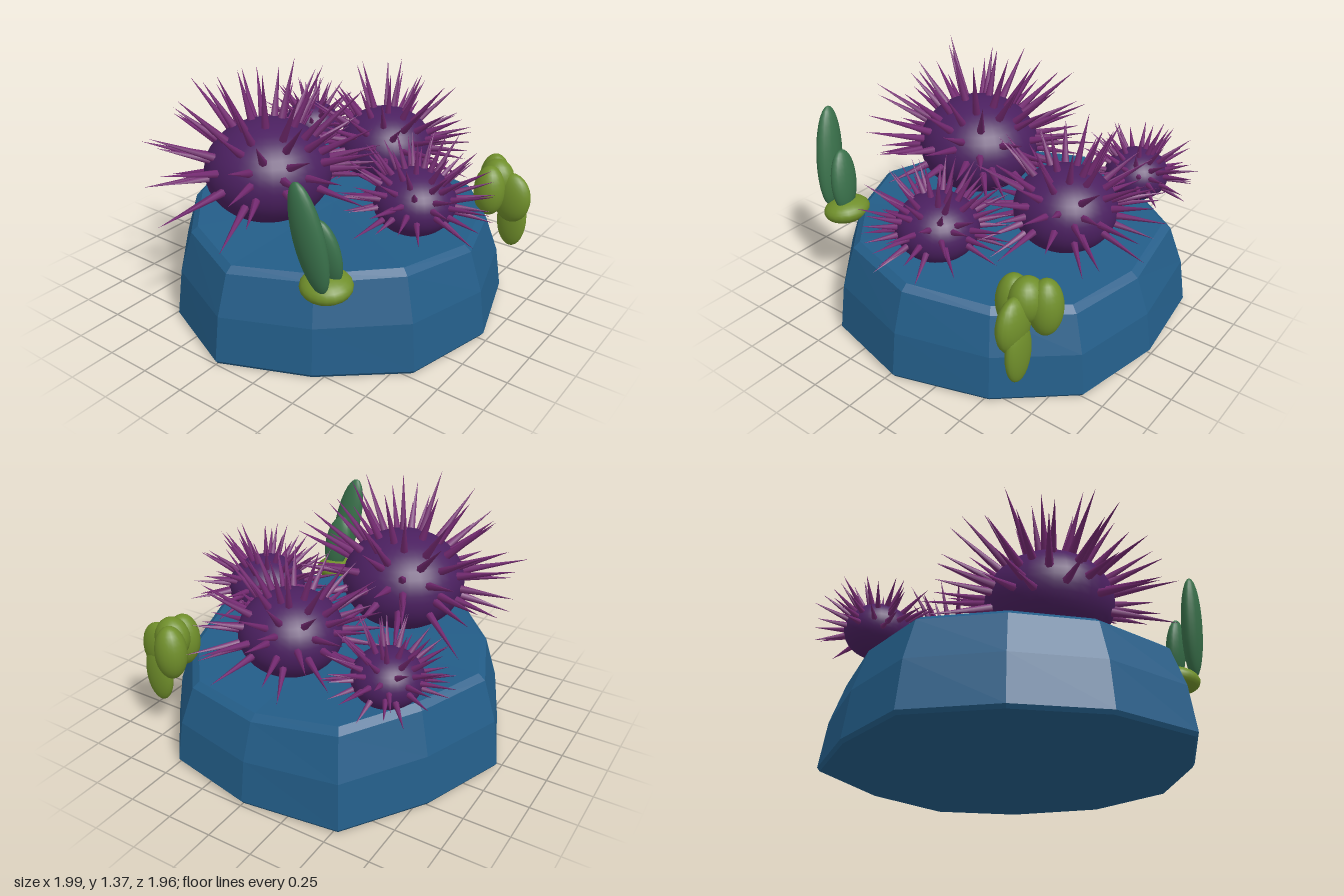
import * as THREE from 'three';
import { mergeGeometries } from 'three/addons/utils/BufferGeometryUtils.js';

const material = (name, color, flatShading = false) => {
  const m = new THREE.MeshStandardMaterial({ color, flatShading });
  m.name = name;
  return m;
};

// Small seeded generator for natural variation
function seeded(seed) {
  return () => {
    seed = (seed * 16807) % 2147483647;
    return seed / 2147483647;
  };
}

// Twelve-sided rock: outline corners as [x, z, rim height]
const OUTLINE = [
  [0.99, 0, 0.46], [0.89, 0.5, 0.46], [0.53, 0.81, 0.47], [0.03, 0.97, 0.5],
  [-0.47, 0.85, 0.53], [-0.8, 0.46, 0.51], [-1, 0, 0.5], [-0.8, -0.47, 0.52],
  [-0.43, -0.79, 0.53], [0.03, -0.98, 0.53], [0.5, -0.81, 0.53], [0.92, -0.53, 0.51],
];

function rockGeometry() {
  // Each ring: outline scale and a rule for its height
  const rings = [
    [0, () => 0], [0.985, () => 0], [1, () => 0.02], [0.965, h => h * 0.53],
    [0.89, h => h - 0.02], [0.85, h => h + 0.01], [0, () => 0.52],
  ].map(([s, height]) => OUTLINE.map(([x, z, h]) => [x * s, height(h), z * s]));
  const positions = [];
  for (let r = 0; r < rings.length - 1; r++) {
    for (let i = 0; i < OUTLINE.length; i++) {
      const j = (i + 1) % OUTLINE.length;
      const a = rings[r][i], b = rings[r + 1][i], c = rings[r + 1][j], d = rings[r][j];
      if (r < rings.length - 2) positions.push(...a, ...b, ...c);
      if (r > 0) positions.push(...a, ...c, ...d);
    }
  }
  const g = new THREE.BufferGeometry();
  g.setAttribute('position', new THREE.Float32BufferAttribute(positions, 3));
  g.computeVertexNormals();
  return g;
}

// Cones spread evenly over the upper part of a squashed ball
function spineGeometry(r, ry, count, random) {
  const up = new THREE.Vector3(0, 1, 0);
  const spines = [];
  for (let i = 0; i < count; i++) {
    const y = 0.98 - (i / (count - 1)) * 1.28 + (random() - 0.5) * 0.08;
    const ring = Math.sqrt(Math.max(0, 1 - y * y));
    const turn = i * 2.39996 + (random() - 0.5) * 0.35;
    const dir = new THREE.Vector3(Math.cos(turn) * ring, y, Math.sin(turn) * ring).normalize();
    const base = dir.clone().multiply(new THREE.Vector3(r, ry, r)).multiplyScalar(0.95);
    const length = r * (0.76 + random() * 0.36);
    const cone = new THREE.ConeGeometry(0.008 + r * 0.045, length, 6, 1, true);
    cone.translate(0, length / 2, 0);
    cone.applyQuaternion(new THREE.Quaternion().setFromUnitVectors(up, dir));
    cone.translate(base.x, base.y, base.z);
    spines.push(cone);
  }
  return mergeGeometries(spines);
}

export function createModel() {
  const stone = material('blue stone', 0x235d88, true);
  const shell = material('dark purple shell', 0x4b2060);
  const spine = material('magenta spine', 0x752a72);
  const leaf = material('deep green', 0x39704a);
  const moss = material('olive moss', 0x708f2b);

  const model = new THREE.Group();
  model.name = 'urchinRock';
  const add = (parent, name, geometry, mat) => {
    const mesh = new THREE.Mesh(geometry, mat);
    mesh.name = name;
    parent.add(mesh);
    return mesh;
  };
  const group = name => {
    const g = new THREE.Group();
    g.name = name;
    model.add(g);
    return g;
  };

  add(model, 'rock', rockGeometry(), stone);

  // Urchins: position, radius, half height, spine count
  const urchins = [
    ['largeUrchin', -0.32, 0.79, -0.2, 0.345, 0.275, 66],
    ['mediumUrchin', 0.45, 0.735, 0.045, 0.275, 0.225, 62],
    ['frontUrchin', -0.01, 0.69, 0.535, 0.22, 0.175, 62],
    ['backUrchin', 0.53, 0.7, -0.57, 0.18, 0.145, 56],
  ];
  urchins.forEach(([name, x, y, z, r, ry, count], i) => {
    const urchin = group(name);
    urchin.position.set(x, y, z);
    add(urchin, 'urchinBody', new THREE.SphereGeometry(1, 32, 20), shell).scale.set(r, ry, r);
    add(urchin, 'urchinSpines', spineGeometry(r, ry, count, seeded(4711 + i * 977)), spine);
  });

  // Soft rounded lobe, optionally leaning
  const lobe = (parent, name, mat, [x, y, z], [rx, ry, rz], tiltX = 0, tiltZ = 0) => {
    const m = add(parent, name, new THREE.SphereGeometry(1, 20, 14), mat);
    m.position.set(x, y, z);
    m.scale.set(rx, ry, rz);
    m.rotation.set(tiltX, 0, tiltZ);
  };

  // Upright fronds growing from a mossy foot
  const plant = group('seaPlant');
  lobe(plant, 'plantFoot', moss, [-0.73, 0.52, 0.5], [0.125, 0.07, 0.135], 0, 0.12);
  lobe(plant, 'tallFrond', leaf, [-0.845, 0.815, 0.49], [0.055, 0.29, 0.085], -0.18, 0.1);
  lobe(plant, 'shortFrond', leaf, [-0.735, 0.7, 0.5], [0.05, 0.18, 0.085], -0.15, 0.15);

  // Moss clump drooping over the rim
  const clump = group('mossClump');
  [
    [[0.58, 0.565, 0.675], [0.09, 0.15, 0.09]],
    [[0.735, 0.57, 0.63], [0.085, 0.155, 0.09]],
    [[0.66, 0.61, 0.68], [0.09, 0.12, 0.1]],
    [[0.655, 0.52, 0.78], [0.065, 0.15, 0.115]],
    [[0.685, 0.375, 0.78], [0.045, 0.175, 0.09]],
  ].forEach(([p, s]) => lobe(clump, 'mossLobe', moss, p, s));

  return model;
}
